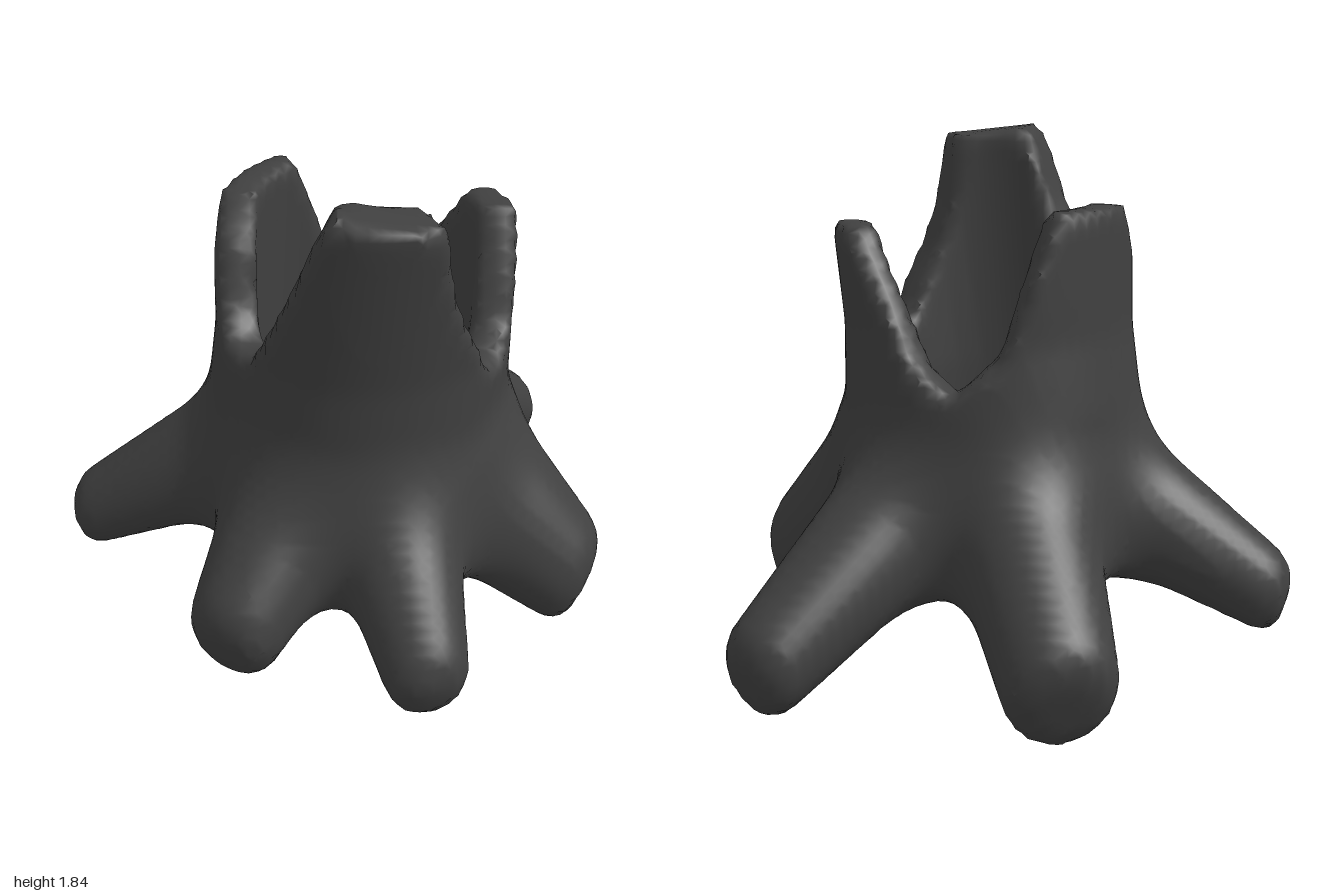
import * as THREE from 'three';

const CX = 0.09, CZ = 0.03;   // axis of the hollow trunk
const CELL = 0.036;

// Rim height around the trunk: [angle in degrees, y]; three splinters and three gaps
const RIM = [[-80, 1.08], [-65, 1.17], [-50, 1.38], [-36, 1.53], [-29, 1.61], [-8, 1.61], [2, 1.45], [12, 1.28],
  [22, 1.2], [36, 1.2], [46, 1.35], [54, 1.46], [62, 1.64], [65, 1.85], [102, 1.89], [108, 1.8], [115, 1.65],
  [125, 1.47], [140, 1.26], [155, 1.25], [165, 1.33], [175, 1.52], [192, 1.68], [236, 1.68], [247, 1.5],
  [260, 1.22], [280, 1.08]];
// Outer and inner radius of the trunk: [y, radius]; the hollow flares at the foot
const TRUNK = [[0.3, 0.57], [0.8, 0.54], [1.1, 0.52], [1.25, 0.51], [1.9, 0.54]];
const HOLLOW = [[0.3, 0.42], [0.6, 0.365], [1, 0.365], [1.8, 0.385]];
// Roots: centre of the blunt tip, tip radius, thickness at the trunk, height at the trunk
const ROOTS = [
  { tip: [-0.97, 0.27, -0.125], r: 0.13, base: 0.26, y: 0.71 },
  { tip: [-0.24, 0.19, -0.9], r: 0.185, base: 0.27, y: 0.67 },
  { tip: [0.79, 0.22, -0.87], r: 0.15, base: 0.26, y: 0.7 },
  { tip: [0.91, 0.21, 0.28], r: 0.18, base: 0.32, y: 0.67 },
  { tip: [0.3, 0.27, 0.94], r: 0.13, base: 0.26, y: 0.72 },
  { tip: [-0.4, 0.34, 0.76], r: 0.155, base: 0.27, y: 0.71 },
].map(({ tip, r, base, y }) => {
  const b = new THREE.Vector3(...tip);
  const a = new THREE.Vector3(b.x - CX, 0, b.z - CZ).setLength(0.33).add(new THREE.Vector3(CX, y, CZ));
  const dir = b.clone().sub(a);
  const length = dir.length();
  dir.normalize();
  const end = new THREE.Vector3(dir.x, dir.y * 0.45, dir.z).normalize();
  return { a, b, dir, end, length, r, base };
});

function interpolate(table, x) {
  let i = 1;
  while (i < table.length - 1 && x > table[i][0]) i++;
  const [x0, y0] = table[i - 1], [x1, y1] = table[i];
  return y0 + (y1 - y0) * THREE.MathUtils.clamp((x - x0) / (x1 - x0), 0, 1);
}

// Smooth union and smooth intersection of two distances
function blend(a, b, k) {
  const h = Math.max(k - Math.abs(a - b), 0) / k;
  return Math.min(a, b) - h * h * k / 4;
}
const cut = (a, b, k) => -blend(-a, -b, k);

// Tapered root cut off steeply at its tip
function rootDistance(p, root) {
  const rel = p.clone().sub(root.a);
  const t = THREE.MathUtils.clamp(rel.dot(root.dir) / root.length, 0, 1.4);
  const side = rel.addScaledVector(root.dir, -t * root.length).length();
  const past = p.clone().sub(root.b).dot(root.end);
  return cut(side - THREE.MathUtils.lerp(root.base, root.r, t), past, 0.1);
}

// Whole stump: trunk and roots blended, then hollowed and cut to the splintered rim
function stumpDistance(p) {
  const dx = p.x - CX, dz = p.z - CZ;
  const lean = Math.max(p.y - 1, 0) * 0.06;
  let d = cut(Math.hypot(dx - lean, dz - lean) - interpolate(TRUNK, p.y), 0.39 - p.y, 0.12);
  for (const root of ROOTS) d = blend(d, rootDistance(p, root), 0.14);
  d = cut(d, interpolate(HOLLOW, p.y) - Math.hypot(dx - lean, dz), 0.06);
  let angle = THREE.MathUtils.radToDeg(Math.atan2(dz, dx));
  if (angle < -80) angle += 360;
  const slope = (interpolate(RIM, angle + 5) - interpolate(RIM, angle - 5)) / (0.175 * 0.45);
  return cut(d, (p.y - interpolate(RIM, angle)) / Math.hypot(1, slope), 0.03);
}

// Skin a distance field with quads: one vertex per crossed cell
function skin(distance, min, size) {
  const n = size.map((s) => Math.ceil(s / CELL) + 1);
  const step = [1, n[0], n[0] * n[1]];
  const values = new Float32Array(n[0] * n[1] * n[2]);
  const p = new THREE.Vector3();
  const each = (visit) => {
    for (let k = 0; k < n[2]; k++) for (let j = 0; j < n[1]; j++) for (let i = 0; i < n[0]; i++) {
      visit([i, j, k], i + j * step[1] + k * step[2]);
    }
  };
  each((c, id) => {
    values[id] = distance(p.set(min[0] + c[0] * CELL, min[1] + c[1] * CELL, min[2] + c[2] * CELL));
  });

  const positions = [], indices = [], cellVertex = new Map();
  each((c, id) => {
    if (c.some((v, a) => v >= n[a] - 1)) return;
    const sum = [0, 0, 0];
    let count = 0;
    for (let corner = 0; corner < 8; corner++) for (let a = 0; a < 3; a++) {
      if (corner & (1 << a)) continue;
      const o = [corner & 1, (corner >> 1) & 1, corner >> 2];
      const from = id + o[0] + o[1] * step[1] + o[2] * step[2];
      const v0 = values[from], v1 = values[from + step[a]];
      if ((v0 < 0) === (v1 < 0)) continue;
      o[a] += v0 / (v0 - v1);
      o.forEach((v, i) => { sum[i] += v; });
      count++;
    }
    if (!count) return;
    cellVertex.set(id, positions.length / 3);
    for (let a = 0; a < 3; a++) positions.push(min[a] + (c[a] + sum[a] / count) * CELL);
  });
  each((c, id) => {
    for (let a = 0; a < 3; a++) {
      const b = (a + 1) % 3, e = (a + 2) % 3;
      if (c[a] >= n[a] - 1 || !c[b] || !c[e]) continue;
      const inside = values[id] < 0;
      if (inside === values[id + step[a]] < 0) continue;
      const q = [id, id - step[b], id - step[b] - step[e], id - step[e]].map((v) => cellVertex.get(v));
      if (!inside) q.reverse();
      indices.push(q[0], q[1], q[2], q[0], q[2], q[3]);
    }
  });
  const geometry = new THREE.BufferGeometry();
  geometry.setAttribute('position', new THREE.Float32BufferAttribute(positions, 3));
  geometry.setIndex(indices);
  geometry.computeVertexNormals();
  return geometry;
}

export function createModel() {
  const group = new THREE.Group();
  group.name = 'treeStump';
  const stump = new THREE.Mesh(
    skin(stumpDistance, [-1.16, -0.2, -1.16], [2.32, 2.24, 2.32]),
    new THREE.MeshStandardMaterial({ color: 0x404040 }),
  );
  stump.name = 'hollowTrunkWithRoots';
  group.add(stump);
  return group;
}
